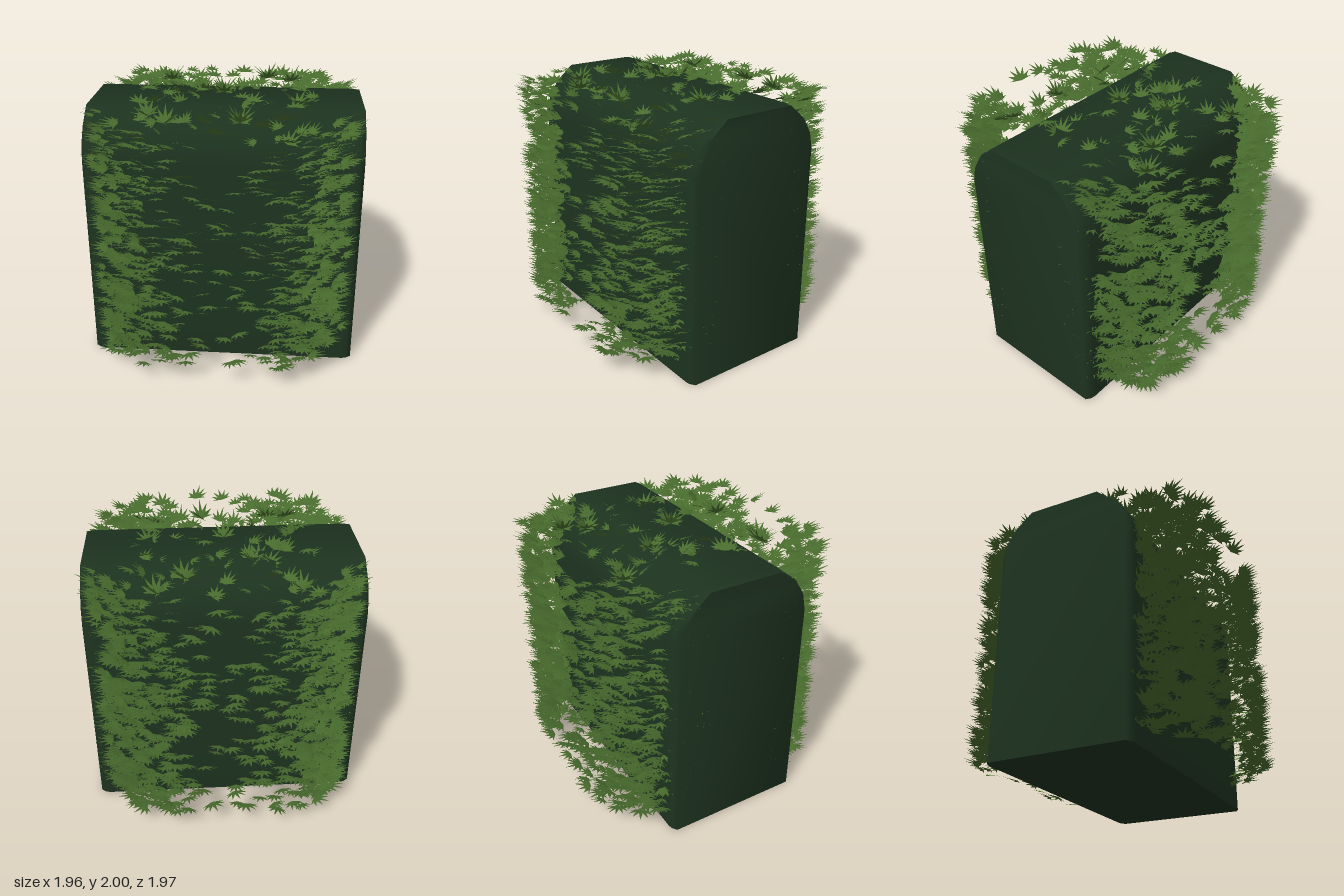
import * as THREE from 'three';
import { mergeGeometries, toCreasedNormals } from 'three/addons/utils/BufferGeometryUtils.js';

const hedgeGreen = new THREE.MeshStandardMaterial({ name: 'hedge dark green', color: 0x1d321f });
const leafGreen = new THREE.MeshStandardMaterial({ name: 'leaf green', color: 0x486b2d, side: THREE.DoubleSide });

let seed = 12345;
function rand(a = 0, b = 1) {
  seed = (seed * 1664525 + 1013904223) % 4294967296;
  return a + (b - a) * (seed / 4294967296);
}

// Solid body: arched profile swept along x, with the upright corners eased
function bodyGeometry() {
  const half = [[0.515, 0], [0.515, 1.5], [0.49, 1.61], [0.42, 1.72], [0.28, 1.83]];
  const mirrored = half.map(([x, y]) => [-x, y]).reverse();
  const shape = new THREE.Shape([...half, ...mirrored].map(([x, y]) => new THREE.Vector2(x, y)));
  const length = 1.91;
  const geo = new THREE.ExtrudeGeometry(shape, { depth: length, steps: 60, bevelEnabled: false });
  const p = geo.attributes.position;
  for (let i = 0; i < p.count; i++) {
    const fromEnd = Math.min(p.getZ(i), length - p.getZ(i));
    const ease = Math.max(0, 1 - fromEnd / 0.064);
    p.setX(i, p.getX(i) * (1 - 0.06 * ease * ease));
  }
  geo.rotateY(Math.PI / 2);
  geo.translate(-length / 2 - 0.003, 0, 0);
  return toCreasedNormals(geo, 1.2);
}

// Hand-shaped leaf with seven pointed lobes, pointing to +z, length 1
function leafGeometry() {
  const rim = [];
  for (let i = 0; i <= 12; i++) {
    const a = (i - 6) * 0.22;
    const r = i % 2 ? 0.4 : 1 - 0.13 * Math.abs(i - 6) / 2;
    rim.push([Math.sin(a) * r, -0.06 * a * a * r, Math.cos(a) * r]);
  }
  const pos = [];
  for (let i = 0; i < rim.length - 1; i++) pos.push(0, 0, 0, ...rim[i], ...rim[i + 1]);
  const geo = new THREE.BufferGeometry();
  geo.setAttribute('position', new THREE.Float32BufferAttribute(pos, 3));
  geo.computeVertexNormals();
  return geo;
}

const leaf = leafGeometry();

// One leaf with its stalk end at base, turned by heading and lifted by tilt
function placeLeaf(base, heading, tilt, roll, size) {
  const q = new THREE.Quaternion().setFromEuler(new THREE.Euler(-tilt, heading, roll, 'YXZ'));
  const m = new THREE.Matrix4().compose(base, q, new THREE.Vector3(size, size, size));
  return leaf.clone().applyMatrix4(m);
}

// Leaves standing out all round on a rounded-square ring, thin near the middle
function ringLeaves() {
  const list = [], n = 3.6;
  for (let i = 0; i < 3600; i++) {
    const t = rand(0, Math.PI * 2), c = Math.cos(t), s = Math.sin(t);
    const r = Math.pow(Math.abs(c) ** n + Math.abs(s) ** n, -1 / n);
    const x = c * r * 0.985, z = s * r * 0.985;
    const keep = 0.14 + 0.86 * THREE.MathUtils.smoothstep(Math.abs(x), 0.08, 0.6);
    const y = rand(0.11, 1.82), pick = rand();
    if (Math.abs(z) < 0.3 || pick > keep) continue;
    const nx = Math.sign(c) * Math.abs(c) ** (n - 1), nz = Math.sign(s) * Math.abs(s) ** (n - 1);
    const heading = Math.atan2(nx, nz) + rand(-0.4, 0.4);
    const tilt = rand(0.15, 0.5), size = rand(0.1, 0.15);
    const corner = Math.min(Math.abs(x), Math.abs(z)) / 0.8;
    const back = size * Math.cos(tilt) + rand() ** 1.6 * (0.03 + 0.19 * corner);
    const base = new THREE.Vector3(x - Math.sin(heading) * back, y, z - Math.cos(heading) * back);
    list.push(placeLeaf(base, heading, tilt, rand(-0.2, 0.2), size));
  }
  return mergeGeometries(list);
}

// Loose leaves and upright sprigs scattered over the top
function topLeaves() {
  const list = [];
  for (let i = 0; i < 100; i++) {
    const x = rand(-0.62, 0.62), z = rand(-0.66, 0.66);
    const drop = Math.max(0, Math.abs(z) - 0.28) * 0.25;
    const base = new THREE.Vector3(x, rand(1.79, 1.845) - drop, z);
    list.push(placeLeaf(base, rand(0, Math.PI * 2), rand(0.1, 0.8), rand(-0.3, 0.3), rand(0.09, 0.14)));
  }
  const sprigs = [[-0.02, 0.02, 1.87], [0.27, -0.5, 1.84], [-0.5, 0.45, 1.82], [0.5, 0.1, 1.81],
    [-0.2, -0.25, 1.81], [0.12, 0.5, 1.8], [-0.48, -0.6, 1.79], [0.45, -0.6, 1.79], [-0.37, 0.52, 1.79]];
  for (const [x, z, y] of sprigs) {
    const turn = rand(0, Math.PI);
    for (let k = 0; k < 3; k++) {
      const heading = turn + k * Math.PI * 2 / 3;
      list.push(placeLeaf(new THREE.Vector3(x, y, z), heading, rand(0.5, 1.05), 0, 0.145));
    }
  }
  return mergeGeometries(list);
}

export function createModel() {
  const group = new THREE.Group();
  group.name = 'hedge';
  const add = (name, geometry, material) => {
    const mesh = new THREE.Mesh(geometry, material);
    mesh.name = name;
    group.add(mesh);
  };
  seed = 12345;
  add('hedgeBody', bodyGeometry(), hedgeGreen);
  add('sideLeaves', ringLeaves(), leafGreen);
  add('topLeaves', topLeaves(), leafGreen);
  return group;
}
